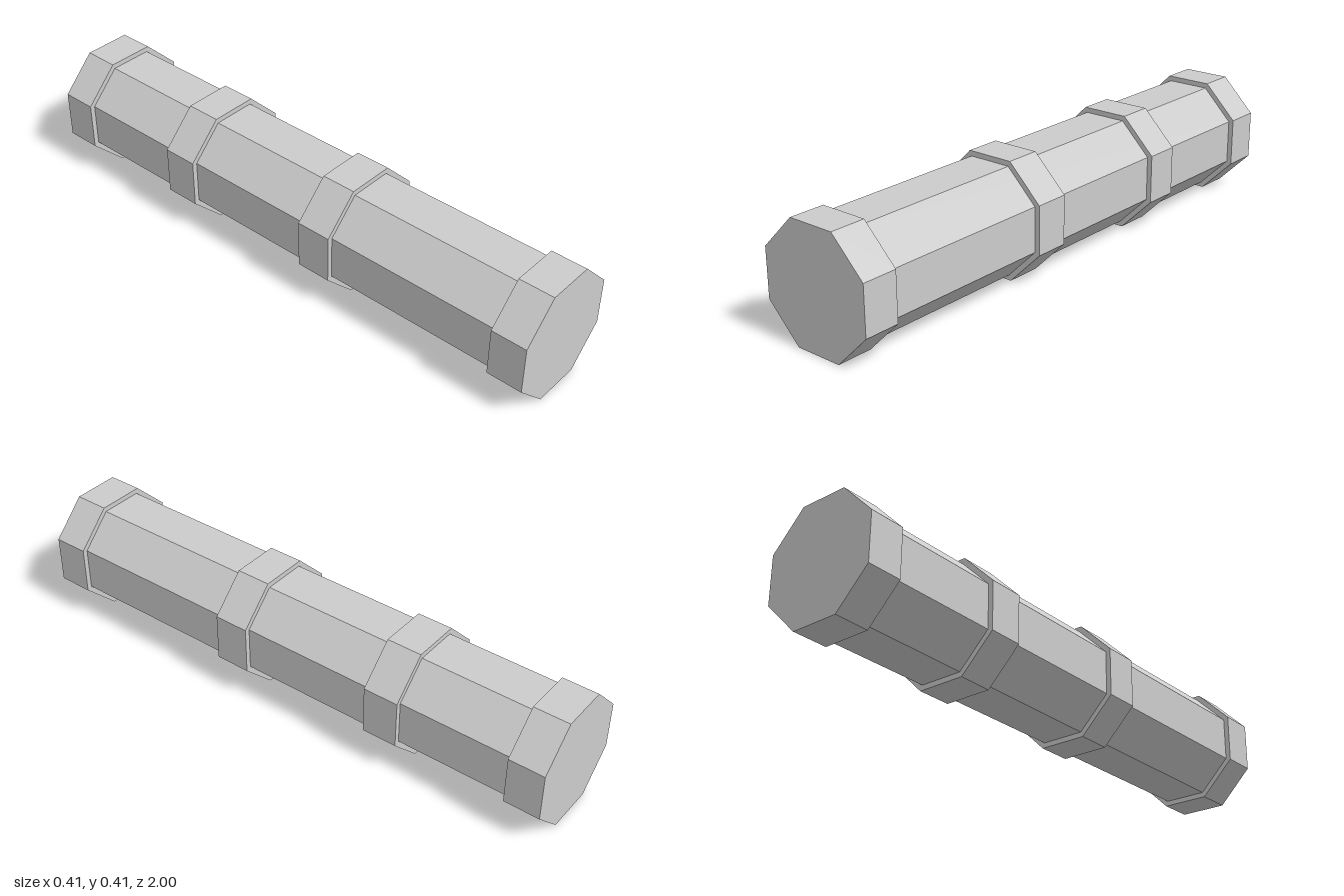
import * as THREE from 'three';

const CENTRE_Y = 0.205;

// Octagonal prism along z, flat sides facing the axes
function octagon(name, apothem, z0, z1, material) {
  const radius = apothem / Math.cos(Math.PI / 8);
  const geometry = new THREE.CylinderGeometry(radius, radius, z1 - z0, 8, 1, false, Math.PI / 8);
  geometry.rotateX(Math.PI / 2);
  const mesh = new THREE.Mesh(geometry, material);
  mesh.name = name;
  mesh.position.set(0, CENTRE_Y, (z0 + z1) / 2);
  return mesh;
}

export function createModel() {
  const group = new THREE.Group();
  group.name = 'bandedPipe';
  const grey = new THREE.MeshStandardMaterial({ color: 0xcccccc });
  grey.name = 'lightGrey';
  grey.flatShading = true;

  // Main shaft, ending inside the two caps
  group.add(octagon('shaft', 0.187, -0.94, 0.94, grey));

  // End caps and the two raised bands between them
  const collars = [
    ['frontCap', 0.875, 1],
    ['frontBand', 0.125, 0.25],
    ['rearBand', -0.48, -0.355],
    ['rearCap', -1, -0.875],
  ];
  for (const [name, z0, z1] of collars) group.add(octagon(name, CENTRE_Y, z0, z1, grey));

  return group;
}
